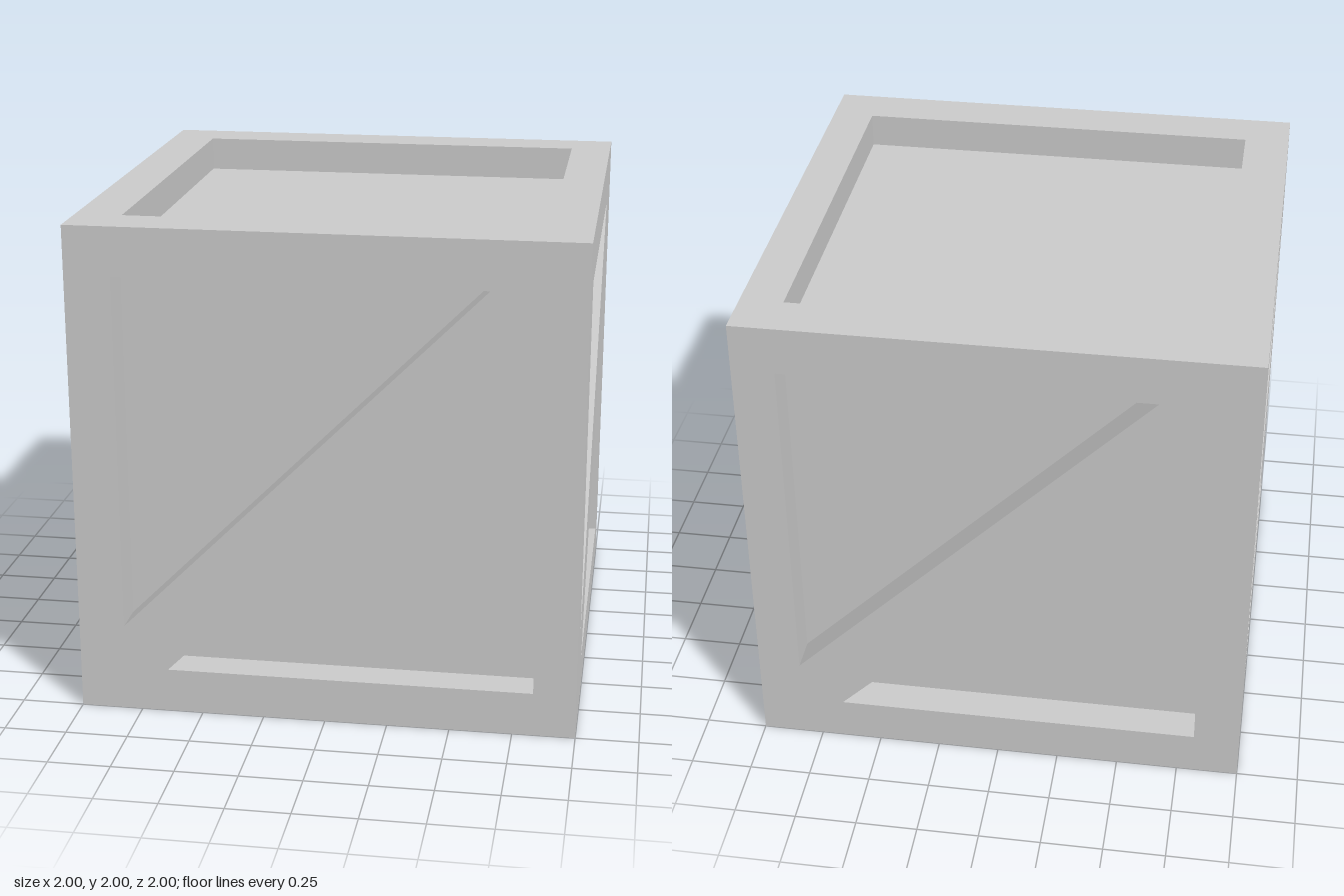
import * as THREE from 'three';

const DEPTH = 0.14; // thickness of the frame in front of the boards

function polygon(points, PathType = THREE.Path) {
  return new PathType(points.map(([x, y]) => new THREE.Vector2(x, y)));
}

// A 2 x 2 frame plate facing +z, with mitred outer edges so six close into a cube.
function framePlate(holes) {
  const shape = polygon([[-1, -1], [1, -1], [1, 1], [-1, 1]], THREE.Shape);
  shape.holes = holes.map((h) => polygon(h));
  const geo = new THREE.ExtrudeGeometry(shape, { depth: DEPTH, bevelEnabled: false });
  geo.translate(0, 0, 1 - DEPTH);
  const pos = geo.attributes.position;
  for (let i = 0; i < pos.count; i++) {
    const z = pos.getZ(i);
    if (Math.abs(pos.getX(i)) > 0.99) pos.setX(i, Math.sign(pos.getX(i)) * z);
    if (Math.abs(pos.getY(i)) > 0.99) pos.setY(i, Math.sign(pos.getY(i)) * z);
  }
  geo.computeVertexNormals();
  return geo;
}

// Two triangular openings, leaving a brace that rises to the right.
const wideBraced = (s) => [
  [[-0.815 + s, -0.64], [-0.815 + s, 0.805], [0.63 + s, 0.805]],
  [[-0.64 + s, -0.82], [0.83 + s, -0.82], [0.83 + s, 0.635]],
];
const narrowBraced = [
  [[-0.805, -0.625], [-0.805, 0.805], [0.61, 0.805]],
  [[-0.635, -0.82], [0.805, -0.82], [0.805, 0.615]],
];
const square = [[[-0.815, -0.805], [0.83, -0.805], [0.83, 0.805], [-0.815, 0.805]]];

export function createModel() {
  const crate = new THREE.Group();
  crate.name = 'crate';
  const material = new THREE.MeshStandardMaterial({ color: 0xcccccc, flatShading: true });

  const add = (name, geo, rx = 0, ry = 0) => {
    const mesh = new THREE.Mesh(geo, material);
    mesh.name = name;
    mesh.rotation.set(rx, ry, 0);
    mesh.position.y = 1;
    crate.add(mesh);
  };

  // Recessed boards
  const inner = 2 - 2 * DEPTH;
  add('innerBox', new THREE.BoxGeometry(inner, inner, inner));

  // Braced sides
  const q = Math.PI / 2;
  add('frontFrame', framePlate(wideBraced(0)));
  add('backFrame', framePlate(wideBraced(-0.015)), 0, 2 * q);
  add('leftFrame', framePlate(narrowBraced), 0, q);
  add('rightFrame', framePlate(narrowBraced), 0, -q);

  // Open square lid and base frames
  add('topFrame', framePlate(square), -q);
  add('bottomFrame', framePlate(square), q);

  return crate;
}
